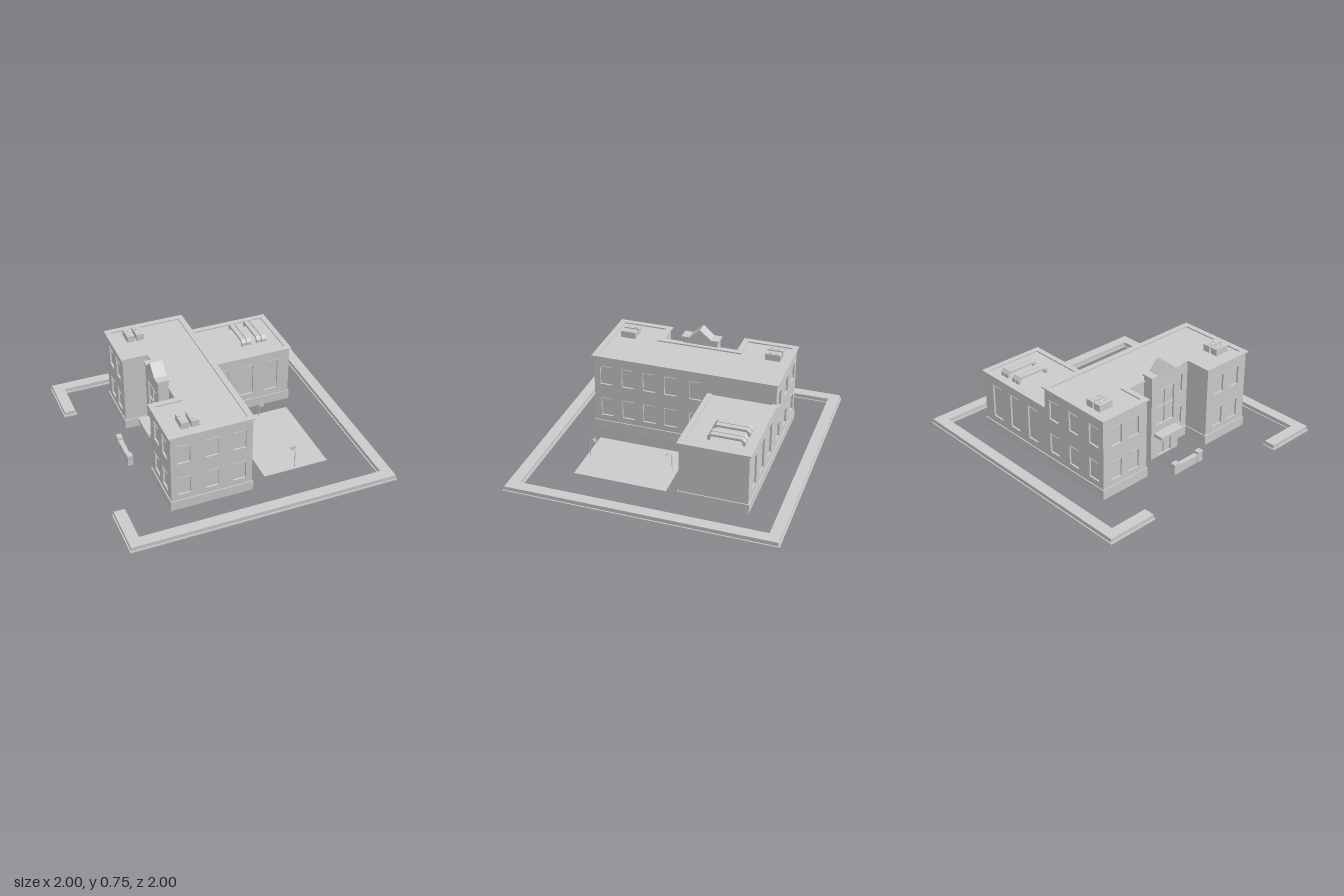
import * as THREE from 'three';

const MAT = new THREE.MeshStandardMaterial({ color: 0xcccccc, flatShading: true, side: THREE.DoubleSide });

function add(parent, name, geo, x = 0, y = 0, z = 0) {
  const m = new THREE.Mesh(geo, MAT);
  m.name = name;
  m.position.set(x, y, z);
  parent.add(m);
  return m;
}

// Box given by its min and max corners
function box(parent, name, x0, x1, y0, y1, z0, z1) {
  return add(parent, name, new THREE.BoxGeometry(x1 - x0, y1 - y0, z1 - z0),
    (x0 + x1) / 2, (y0 + y1) / 2, (z0 + z1) / 2);
}

const extrude = (shape, depth) => new THREE.ExtrudeGeometry(shape, { depth, bevelEnabled: false });
const rectPath = (x0, x1, y0, y1) =>
  [[x0, y0], [x1, y0], [x1, y1], [x0, y1]].map(p => new THREE.Vector2(...p));

// Move every corner of a right-angled [x, z] outline outwards by d
function offset(outline, d) {
  const n = outline.length;
  const normal = (a, b) => {
    const dx = b[0] - a[0], dz = b[1] - a[1], l = Math.hypot(dx, dz);
    return [-dz / l, dx / l];
  };
  return outline.map((p, i) => {
    const a = normal(outline[(i + n - 1) % n], p), b = normal(p, outline[(i + 1) % n]);
    return [p[0] + d * (a[0] + b[0]), p[1] + d * (a[1] + b[1])];
  });
}

// Horizontal slab over an outline, optionally with an opening
function slab(parent, name, outline, y0, y1, hole) {
  const pts = o => o.map(([x, z]) => new THREE.Vector2(x, -z));
  const s = new THREE.Shape(pts(outline));
  if (hole) s.holes.push(new THREE.Path(pts(hole)));
  const g = extrude(s, y1 - y0);
  g.rotateX(-Math.PI / 2);
  return add(parent, name, g, 0, y0, 0);
}
const ring = (parent, name, outline, out, inn, y0, y1) =>
  slab(parent, name, offset(outline, out), y0, y1, offset(outline, inn));

// Wall from a to b with recessed windows [centre along wall, width, y0, y1]
function wall(parent, name, a, b, height, windows = []) {
  const g = new THREE.Group();
  g.name = name;
  const dx = b[0] - a[0], dz = b[1] - a[1];
  const s = new THREE.Shape(rectPath(0, Math.hypot(dx, dz), 0, height));
  for (const [c, w, y0, y1] of windows) {
    s.holes.push(new THREE.Path(rectPath(c - w / 2, c + w / 2, y0, y1)));
    add(g, 'windowPane', new THREE.PlaneGeometry(w, y1 - y0), c, (y0 + y1) / 2, -0.014);
    box(g, 'windowHood', c - w / 2, c + w / 2, y1 - 0.003, y1 + 0.003, -0.01, 0.005);
  }
  add(g, 'wallFace', extrude(s, 0.015), 0, 0, -0.015);
  g.position.set(a[0], 0, a[1]);
  g.rotation.y = Math.atan2(-dz, dx);
  parent.add(g);
  return g;
}

// Two storeys of windows at the given positions
const storeys = (cs, w = 0.095) => cs.flatMap(c => [[c, w, 0.12, 0.27], [c, w, 0.39, 0.54]]);

function mainBlock() {
  const g = new THREE.Group();
  g.name = 'mainBlock';
  const o = [[-0.6, 0.7], [0, 0.7], [0, -0.7], [-0.6, -0.7],
    [-0.6, -0.3], [-0.4, -0.3], [-0.4, 0.3], [-0.6, 0.3]];
  const windows = [
    storeys([0.095, 0.3, 0.505]), storeys([0.095, 0.265, 0.432, 0.6, 0.795]),
    storeys([0.095, 0.3, 0.505]), storeys([0.12, 0.28]), [],
    storeys([0.085, 0.515], 0.07), [], storeys([0.12, 0.28])];
  o.forEach((p, i) => wall(g, 'mainWall', p, o[(i + 1) % o.length], 0.62, windows[i]));
  ring(g, 'mainPlinth', o, 0.008, -0.008, 0, 0.075);
  slab(g, 'mainRoof', o, 0.605, 0.612);
  ring(g, 'mainCornice', o, 0.013, -0.03, 0.618, 0.628);
  return g;
}

function wing() {
  const g = new THREE.Group();
  g.name = 'sideWing';
  const o = [[0, -0.2], [0.695, -0.2], [0.695, -0.7], [0, -0.7]];
  const tall = [0.145, 0.347, 0.55];
  const win = cs => cs.map(c => [c, 0.102, 0.125, 0.39]);
  wall(g, 'wingFrontWall', o[0], o[1], 0.465, win(tall));
  wall(g, 'wingEndWall', o[1], o[2], 0.465);
  wall(g, 'wingBackWall', o[2], o[3], 0.465, win(tall.map(c => 0.695 - c)));
  ring(g, 'wingPlinth', o, 0.008, -0.008, 0, 0.075);
  slab(g, 'wingRoof', o, 0.452, 0.458);
  // Cornice runs round the three free sides
  slab(g, 'wingCornice', [[0.01, -0.188], [0.707, -0.188], [0.707, -0.713], [0.01, -0.713],
    [0.01, -0.672], [0.666, -0.672], [0.666, -0.228], [0.01, -0.228]], 0.463, 0.473);
  // Roof ducts: bent bars bridging the roof
  const s = new THREE.Shape([[0.365, 0.458], [0.365, 0.485], [0.388, 0.508], [0.612, 0.508], [0.635, 0.485],
    [0.635, 0.458], [0.615, 0.458], [0.615, 0.478], [0.602, 0.49], [0.398, 0.49],
    [0.385, 0.478], [0.385, 0.458]].map(p => new THREE.Vector2(...p)));
  for (const x of [0.373, 0.416, 0.497, 0.54]) {
    const d = extrude(s, 0.037);
    d.rotateY(Math.PI / 2);
    add(g, 'roofDuct', d, x, 0, 0);
  }
  return g;
}

function entrance() {
  const g = new THREE.Group();
  g.name = 'entrance';
  const o = [[-0.4, -0.135], [-0.48, -0.135], [-0.48, 0.135], [-0.4, 0.135]];
  wall(g, 'baySide', o[0], o[1], 0.63);
  const front = wall(g, 'bayFront', o[1], o[2], 0.63, [[0.135, 0.13, 0.01, 0.18], [0.135, 0.17, 0.27, 0.55]]);
  box(front, 'windowMullion', 0.131, 0.139, 0.27, 0.55, -0.014, -0.004);
  box(front, 'windowTransom', 0.05, 0.22, 0.406, 0.414, -0.014, -0.004);
  box(front, 'doorMeeting', 0.132, 0.138, 0.01, 0.18, -0.014, -0.006);
  wall(g, 'baySide', o[2], o[3], 0.63);
  box(g, 'canopy', -0.56, -0.47, 0.19, 0.215, -0.11, 0.105);
  // Gable with shoulders and an overhanging coping
  const gable = (name, pts, x0, x1) => {
    const geo = extrude(new THREE.Shape(pts.map(p => new THREE.Vector2(...p))), x1 - x0);
    geo.rotateY(Math.PI / 2);
    add(g, name, geo, x0, 0, 0);
  };
  gable('gableBody', [[-0.135, 0.61], [0.135, 0.61], [0.135, 0.67], [0.08, 0.67], [0, 0.742],
    [-0.08, 0.67], [-0.135, 0.67]], -0.48, -0.4);
  gable('gableCoping', [[-0.147, 0.668], [-0.078, 0.668], [0, 0.74], [0.078, 0.668], [0.147, 0.668],
    [0.147, 0.68], [0.085, 0.68], [0, 0.755], [-0.085, 0.68], [-0.147, 0.68]], -0.49, -0.395);
  return g;
}

function coolingUnits() {
  const g = new THREE.Group();
  g.name = 'coolingUnits';
  for (const z of [-0.572, 0.564]) for (const x of [-0.462, -0.389]) {
    box(g, 'coolingUnit', x - 0.028, x + 0.028, 0.612, 0.663, z - 0.058, z + 0.058);
    for (const dz of [-0.025, 0.025]) {
      add(g, 'fanRing', new THREE.CylinderGeometry(0.016, 0.016, 0.004, 12), x, 0.664, z + dz);
      const blade = add(g, 'fanBlade', new THREE.BoxGeometry(0.024, 0.003, 0.005), x, 0.666, z + dz);
      blade.rotation.y = 0.6;
    }
  }
  return g;
}

function hoop(z, dir) {
  const g = new THREE.Group();
  g.name = 'hoop';
  // Pole bends over the court to carry the backboard
  const path = new THREE.CurvePath();
  const v = (y, d) => new THREE.Vector3(0, y, d);
  path.add(new THREE.LineCurve3(v(0, 0), v(0.13, 0)));
  path.add(new THREE.QuadraticBezierCurve3(v(0.13, 0), v(0.148, 0), v(0.148, 0.018)));
  path.add(new THREE.LineCurve3(v(0.148, 0.018), v(0.148, 0.038)));
  add(g, 'hoopPole', new THREE.TubeGeometry(path, 24, 0.003, 6));
  box(g, 'backboard', -0.02, 0.02, 0.13, 0.157, 0.036, 0.04);
  const rim = add(g, 'hoopRim', new THREE.TorusGeometry(0.007, 0.001, 5, 12), 0, 0.136, 0.048);
  rim.rotation.x = Math.PI / 2;
  g.position.set(0.387, 0, z);
  g.rotation.y = dir > 0 ? 0 : Math.PI;
  return g;
}

export function createModel() {
  const model = new THREE.Group();
  model.name = 'school';
  model.add(mainBlock(), wing(), entrance(), coolingUnits());

  // Low boundary wall, open at the gateway and hollow below
  const o = [[-1, 1], [1, 1], [1, -1], [-1, -1], [-1, -0.6], [-0.9, -0.6],
    [-0.9, -0.9], [0.9, -0.9], [0.9, 0.9], [-0.9, 0.9], [-0.9, 0.6], [-1, 0.6]];
  ring(model, 'boundaryFooting', o, 0, -0.011, 0, 0.01);
  ring(model, 'boundarySides', o, -0.009, -0.012, 0.01, 0.038);
  slab(model, 'boundaryTop', offset(o, -0.009), 0.037, 0.04);

  // Ball court
  box(model, 'court', 0.137, 0.635, 0, 0.003, -0.085, 0.615);
  model.add(hoop(0.59, -1), hoop(-0.047, 1));

  // Forecourt sign wall with raised ends
  box(model, 'signWall', -0.727, -0.693, 0, 0.065, -0.095, 0.09);
  box(model, 'signWallEnd', -0.73, -0.69, 0, 0.085, -0.147, -0.095);
  box(model, 'signWallEnd', -0.73, -0.69, 0, 0.085, 0.09, 0.137);
  return model;
}
